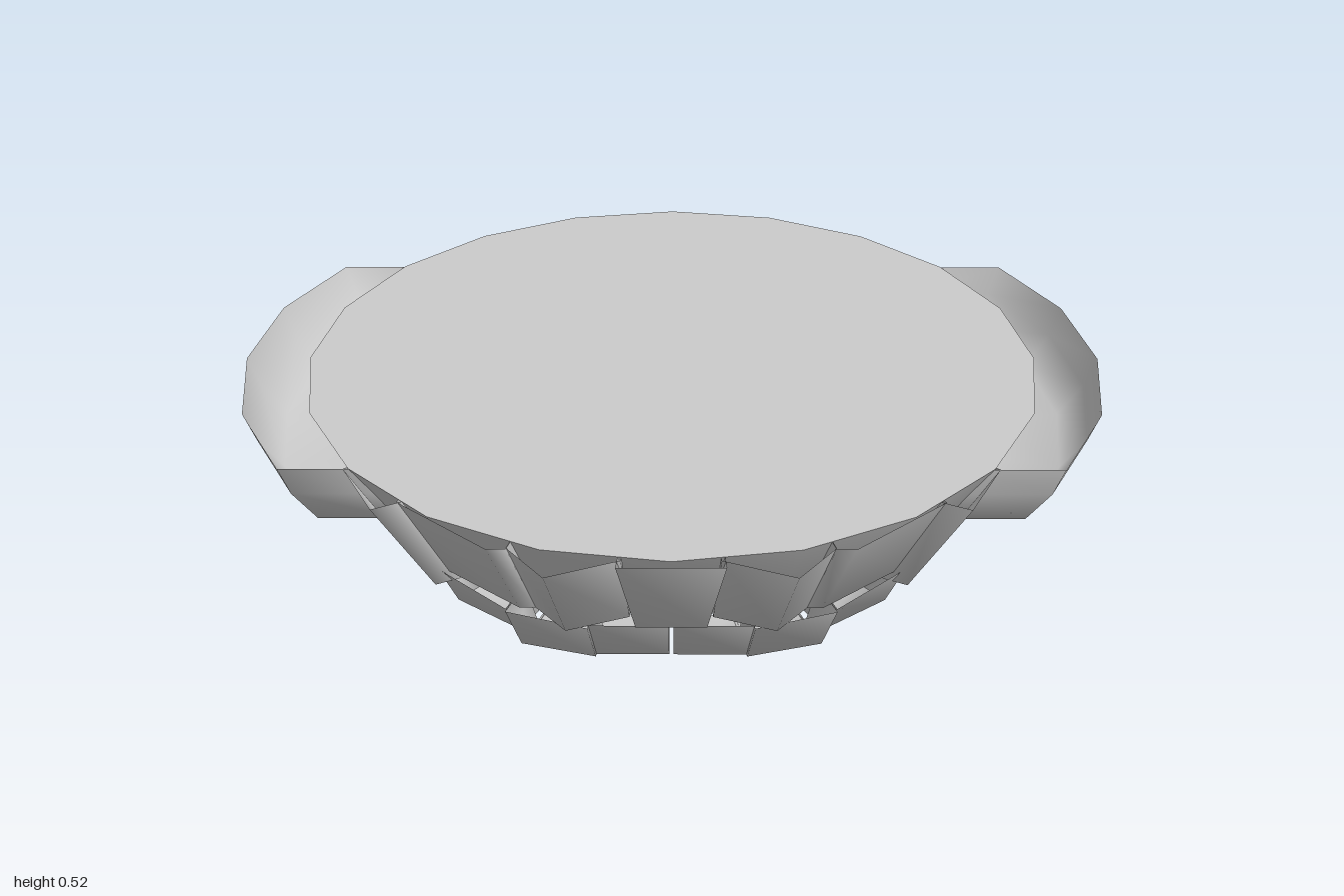
import * as THREE from 'three';

const CZ = -0.03;   // centre of the bowl in z
const TOP = 0.52;   // height of the rim
const mat = new THREE.MeshStandardMaterial({ color: 0xcccccc, side: THREE.DoubleSide });

// Open shell: an outline [x, z] swept down through levels [scaleX, scaleZ, y]
function shell(name, outline, levels) {
  const pos = [], idx = [], n = outline.length;
  for (const [sx, sz, y] of levels)
    for (const [x, z] of outline) pos.push(x * sx, y, CZ + (z - CZ) * sz);
  for (let l = 0; l < levels.length - 1; l++)
    for (let i = 0; i < n - 1; i++) {
      const a = l * n + i, b = a + n;
      idx.push(a, b, b + 1, a, b + 1, a + 1);
    }
  const g = new THREE.BufferGeometry();
  g.setAttribute('position', new THREE.Float32BufferAttribute(pos, 3));
  g.setIndex(idx);
  g.computeVertexNormals();
  const m = new THREE.Mesh(g, mat);
  m.name = name;
  return m;
}

// Slanted plate whose ends turn back into the bowl and whose underside is closed
function plate(name, pts, yTop, yBot, sx, sz) {
  const inward = ([x, z]) => [x * 0.9, CZ + (z - CZ) * 0.86];
  const outline = [inward(pts[0]), ...pts, inward(pts[pts.length - 1])];
  return shell(name, outline, [[1, 1, yTop], [sx, sz, yBot], [sx * 0.85, sz * 0.75, yBot]]);
}

const mirrored = (pts) => pts.map(([x, z]) => [-x, z]).reverse();

export function createModel() {
  const model = new THREE.Group();

  // Bowl: a spherical cap with 20 sides, closed by a flat lid
  const R = 0.955, profile = [];
  for (let i = 0; i <= 7; i++) {
    const a = THREE.MathUtils.degToRad(9 * i);
    profile.push(new THREE.Vector2(R * Math.sin(a), R * (1 - Math.cos(a))));
  }
  const bowl = new THREE.Mesh(new THREE.LatheGeometry(profile, 20), mat);
  bowl.name = 'bowl';
  bowl.position.z = CZ;
  const lid = new THREE.Mesh(new THREE.CircleGeometry(profile[7].x, 20), mat);
  lid.name = 'lid';
  lid.rotation.x = -Math.PI / 2;
  lid.position.set(0, profile[7].y, CZ);
  model.add(bowl, lid);

  // Side bolsters hugging the rim
  const bolster = [[0.65, 0.47], [0.84, 0.47], [0.96, 0.235], [1, -0.03],
    [0.96, -0.295], [0.84, -0.53], [0.65, -0.53]];
  const bolsterLevels = [[1, 1, TOP], [0.975, 0.975, 0.45], [0.92, 0.92, 0.37], [0.74, 0.74, 0.37]];

  // Front plates: name, outer edge at the top, top and bottom height, taper in x and z
  const plates = [
    ['upperInnerPlate', [[0.1, 0.815], [0.25, 0.875], [0.33, 0.77]], TOP, 0.28, 0.88, 0.83],
    ['upperOuterPlate', [[0.33, 0.775], [0.37, 0.775], [0.57, 0.6]], TOP, 0.28, 0.87, 0.83],
    ['cheekPlate', [[0.56, 0.6], [0.62, 0.63], [0.7, 0.47]], TOP, 0.25, 0.83, 0.82],
    ['lowerInnerPlate', [[0.005, 0.71], [0.175, 0.71]], 0.285, 0.1, 0.98, 0.8],
    ['lowerMiddlePlate', [[0.175, 0.72], [0.35, 0.66]], 0.285, 0.1, 0.95, 0.8],
    ['lowerOuterPlate', [[0.35, 0.65], [0.51, 0.5]], 0.285, 0.12, 0.95, 0.78],
    ['lowerSidePlate', [[0.62, 0.43], [0.74, 0.26]], 0.36, 0.165, 0.77, 0.74],
  ];
  model.add(plate('upperCentrePlate', [[-0.11, 0.84], [0.11, 0.84]], TOP, 0.28, 0.68, 0.85));

  for (const side of ['left', 'right']) {
    const place = side === 'left' ? (p) => p : mirrored;
    model.add(shell(side + 'Bolster', place(bolster), bolsterLevels));
    for (const [name, pts, ...rest] of plates) model.add(plate(`${side} ${name}`, place(pts), ...rest));
  }
  return model;
}
